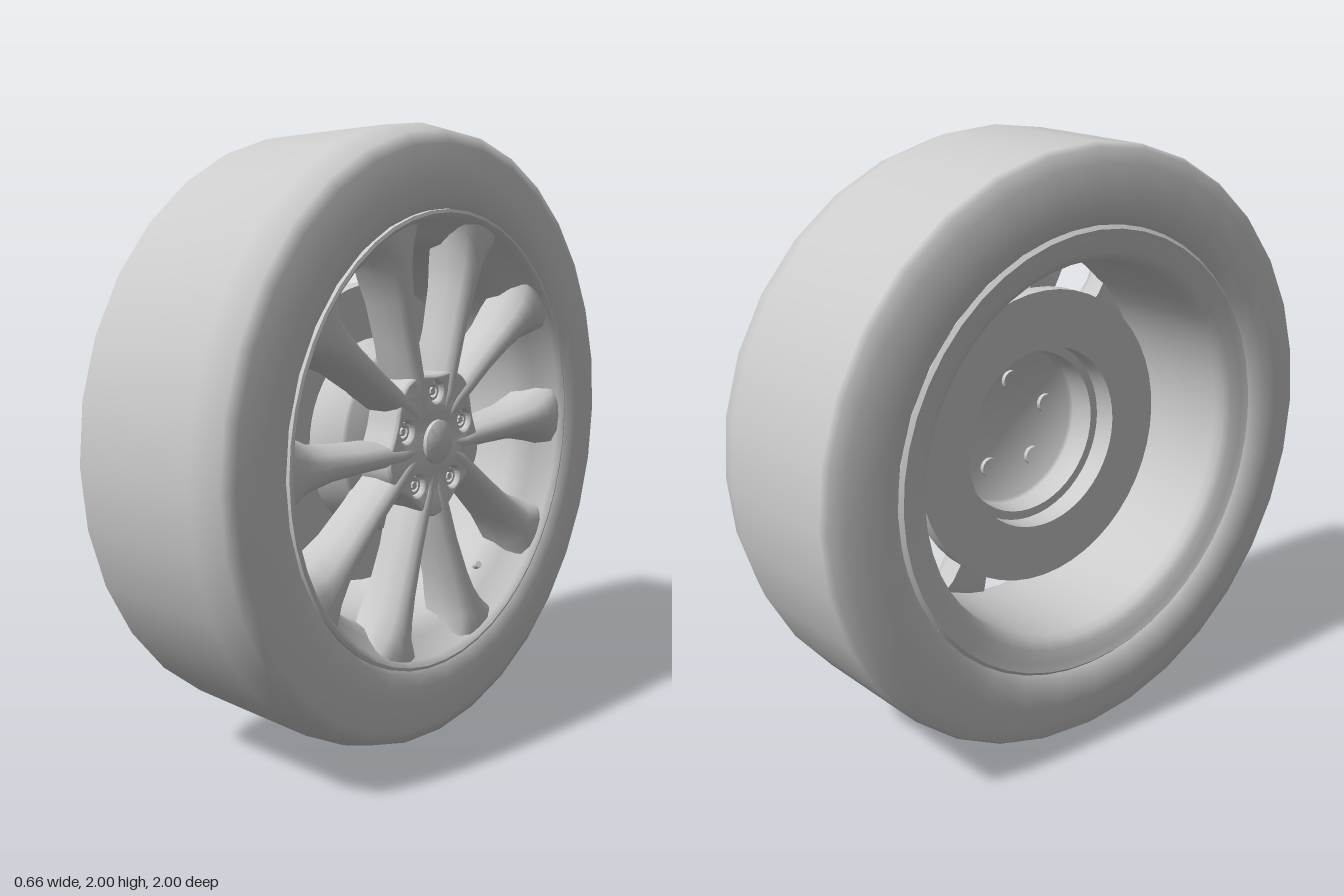
import * as THREE from 'three';
import { toCreasedNormals } from 'three/addons/utils/BufferGeometryUtils.js';

const grey = new THREE.MeshStandardMaterial({ color: 0xcccccc });
const greyDouble = new THREE.MeshStandardMaterial({ color: 0xcccccc, side: THREE.DoubleSide });

function add(parent, name, geometry, material = grey) {
  const mesh = new THREE.Mesh(geometry, material);
  mesh.name = name;
  parent.add(mesh);
}

// Revolve [radius, z] points around the z axis; crease keeps hard edges sharp.
function turned(points, segments, crease) {
  const g = new THREE.LatheGeometry(points.map(([r, z]) => new THREE.Vector2(r, z)), segments);
  g.rotateX(Math.PI / 2);
  return crease ? toCreasedNormals(g, crease) : g;
}

// Point on a circle, angle measured clockwise from straight up.
const polar = (r, a) => [r * Math.sin(a), r * Math.cos(a)];
const deg = THREE.MathUtils.degToRad;

// Loft one spoke; each station: radius, angle, front z, front half width, back half width, back z.
function spokeGeometry(axis, side) {
  const stations = [
    [0.06, 5, 0.266, 0.014, 0.018, 0.15],
    [0.17, 10, 0.276, 0.026, 0.032, 0.14],
    [0.24, 13.5, 0.277, 0.030, 0.043, 0.14],
    [0.36, 15.5, 0.279, 0.032, 0.047, 0.15],
    [0.50, 17, 0.287, 0.038, 0.056, 0.15],
    [0.58, 17.5, 0.294, 0.046, 0.074, 0.15],
    [0.64, 18, 0.300, 0.060, 0.094, 0.16],
    [0.685, 18, 0.304, 0.085, 0.11, 0.18],
    [0.715, 18, 0.302, 0.105, 0.13, 0.20],
  ];
  const pos = [], index = [];
  let n = 0;
  for (const [r, offset, zf, wf, wb, zb] of stations) {
    const mid = zb + (zf - zb) * 0.5;
    const section = [
      [-wb, zb], [-wb, mid], [-wf, zf - 0.02], [-wf * 0.55, zf - 0.003], [0, zf],
      [wf * 0.55, zf - 0.003], [wf, zf - 0.02], [wb, mid], [wb, zb],
    ];
    n = section.length;
    for (const [u, z] of section) pos.push(...polar(r, axis + side * deg(offset) + u / r), z);
  }
  for (let i = 0; i < stations.length - 1; i++) {
    for (let j = 0; j < n; j++) {
      const a = i * n + j, b = i * n + (j + 1) % n;
      index.push(a, b, a + n, b, b + n, a + n);
    }
  }
  const g = new THREE.BufferGeometry();
  g.setAttribute('position', new THREE.Float32BufferAttribute(pos, 3));
  g.setIndex(index);
  return toCreasedNormals(g, deg(50));
}

export function createModel() {
  const model = new THREE.Group();
  model.name = 'wheel';
  // Built facing +z, then turned so the spoked face points to +x.
  const wheel = new THREE.Group();
  wheel.name = 'wheelAssembly';
  wheel.rotation.y = Math.PI / 2;
  wheel.position.y = 1;
  model.add(wheel);

  // Tyre
  add(wheel, 'tyre', turned([
    [0.735, -0.29], [0.75, -0.308], [0.79, -0.325], [0.84, -0.33], [0.92, -0.315],
    [0.965, -0.30], [0.98, -0.28], [0.99, -0.05], [1.0, 0.2], [0.975, 0.295],
    [0.935, 0.312], [0.84, 0.33], [0.79, 0.327], [0.75, 0.315], [0.735, 0.30],
  ], 32));

  // Rim: front lip, sloping shoulder behind the spokes, barrel and back lip
  add(wheel, 'rim', turned([
    [0.737, 0.295], [0.735, 0.314], [0.725, 0.317], [0.717, 0.312], [0.708, 0.298],
    [0.69, 0.265], [0.66, 0.23], [0.635, 0.20], [0.622, 0.16], [0.62, 0.08],
    [0.62, -0.24], [0.63, -0.272], [0.655, -0.29], [0.70, -0.297], [0.725, -0.306], [0.737, -0.295],
  ], 48, deg(45)), greyDouble);

  // Five pairs of spokes
  const spokes = new THREE.Group();
  spokes.name = 'spokes';
  wheel.add(spokes);
  for (let k = 0; k < 5; k++) {
    for (const side of [-1, 1]) add(spokes, 'spoke', spokeGeometry(deg(36 + 72 * k), side), greyDouble);
  }

  // Lobed hub, webbed between each pair of spokes, with a pocket for each nut
  const rimPoints = [];
  for (let i = 0; i < 80; i++) {
    const a = -i * Math.PI / 40;
    rimPoints.push(new THREE.Vector2(...polar(0.222 - 0.016 * Math.cos(5 * a), a)));
  }
  const outline = new THREE.Shape(rimPoints);
  for (let k = 0; k < 5; k++) {
    const [x, y] = polar(0.162, deg(72 * k));
    outline.holes.push(new THREE.Path().absarc(x, y, 0.043, 0, Math.PI * 2, true));
  }
  const hub = new THREE.ExtrudeGeometry(outline, {
    depth: 0.10, bevelThickness: 0.015, bevelSize: 0.01, bevelSegments: 3, curveSegments: 20,
  });
  hub.translate(0, 0, 0.155);
  add(wheel, 'hub', toCreasedNormals(hub, deg(40)));

  // Centre cap
  add(wheel, 'centreCap', turned([[0.071, 0.25], [0.071, 0.282], [0.066, 0.286], [0, 0.287]], 32, deg(40)));

  // Wheel nuts with hexagonal cores
  const collar = turned([[0.033, 0.12], [0.033, 0.245], [0.029, 0.255], [0.02, 0.255], [0.018, 0.24], [0, 0.24]], 20, deg(40));
  const hex = toCreasedNormals(
    new THREE.CylinderGeometry(0.013, 0.013, 0.02, 6).rotateX(Math.PI / 2).translate(0, 0, 0.245), deg(30));
  for (let k = 0; k < 5; k++) {
    const nut = new THREE.Group();
    nut.name = 'wheelNut';
    nut.position.set(...polar(0.162, deg(72 * k)), 0);
    add(nut, 'nutCollar', collar);
    add(nut, 'nutCore', hex);
    wheel.add(nut);
  }

  // Brake disc with a hollow raised hat
  add(wheel, 'brakeDisc', turned([
    [0, 0.135], [0.27, 0.135], [0.28, 0.125], [0.28, 0.03], [0.31, 0.03], [0.31, -0.05],
    [0.5, -0.05], [0.5, 0.01], [0.32, 0.01], [0.315, 0.14], [0.305, 0.15], [0, 0.15],
  ], 48, deg(50)));

  // Tyre valve leaning in from the barrel
  const valve = new THREE.Group();
  valve.name = 'valve';
  valve.position.set(...polar(0.65, deg(145)), 0.15);
  valve.rotation.z = deg(35);
  const stem = new THREE.Group();
  stem.name = 'valveBody';
  stem.rotation.x = deg(55);
  valve.add(stem);
  add(stem, 'valveStem', new THREE.CylinderGeometry(0.009, 0.013, 0.06, 12).translate(0, 0.02, 0));
  add(stem, 'valveCap', new THREE.CylinderGeometry(0.012, 0.012, 0.025, 12).translate(0, 0.055, 0));
  wheel.add(valve);

  return model;
}
